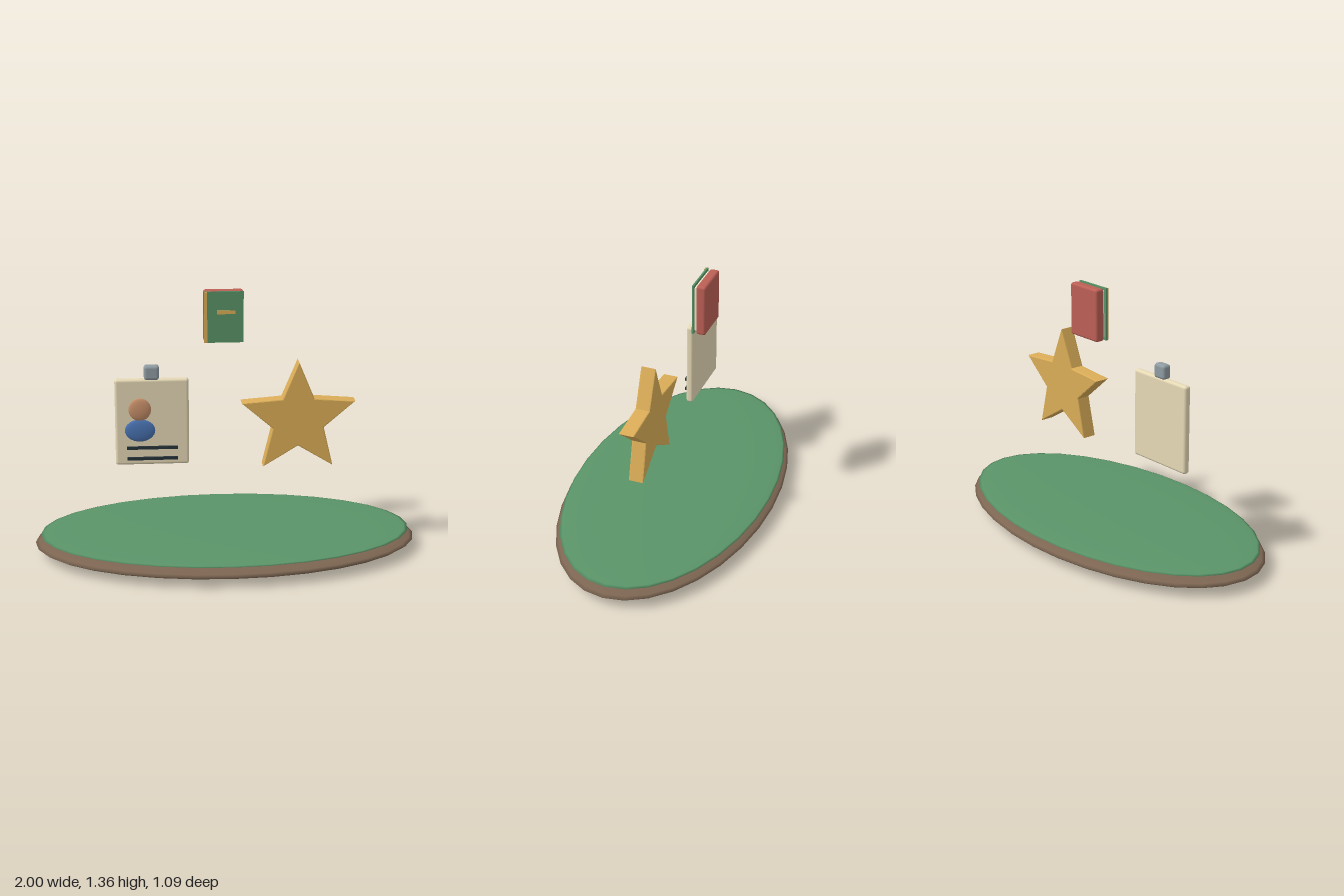
import * as THREE from 'three';
import { RoundedBoxGeometry } from 'three/addons/geometries/RoundedBoxGeometry.js';

const GREEN = 0x5a9468, GOLD = 0xdcae58, INK = 0x263238;

export function createModel() {
  const model = new THREE.Group();

  function add(parent, name, geometry, color, x, y, z) {
    const mesh = new THREE.Mesh(geometry, new THREE.MeshStandardMaterial({ color }));
    mesh.name = name;
    mesh.position.set(x, y, z);
    parent.add(mesh);
    return mesh;
  }
  const ellipsoid = (rx, ry, rz, seg = 32) => new THREE.SphereGeometry(1, seg, 16).scale(rx, ry, rz);
  const slab = (w, h, d, r) => new RoundedBoxGeometry(w, h, d, 3, r);
  const section = (name) => {
    const group = new THREE.Group();
    group.name = name;
    model.add(group);
    return group;
  };

  // Oval table top: wooden rim with a thin felt lens on top
  const table = section('table');
  add(table, 'rim', ellipsoid(1, 0.058, 0.545), 0x7d6652, 0, 0.058, 0);
  add(table, 'felt', ellipsoid(0.97, 0.018, 0.525), GREEN, 0, 0.104, 0);

  // Five-pointed star with a slight bevel
  const points = [];
  for (let i = 0; i < 10; i++) {
    const r = i % 2 ? 0.14 : 0.31;
    const a = Math.PI / 2 + (i * Math.PI) / 5;
    points.push(new THREE.Vector2(r * Math.cos(a), r * Math.sin(a)));
  }
  const bevel = 0.006;
  const starGeometry = new THREE.ExtrudeGeometry(new THREE.Shape(points), {
    depth: 0.078 - 2 * bevel, bevelEnabled: true, bevelThickness: bevel,
    bevelSize: bevel, bevelOffset: -bevel, bevelSegments: 2,
  });
  starGeometry.translate(0, 0, -0.039 + bevel);
  add(model, 'star', starGeometry, GOLD, 0.375, 0.71, 0);

  // Identity card with clip, portrait and two text bars
  const card = section('identityCard');
  add(card, 'cardBoard', slab(0.38, 0.46, 0.038, 0.014), 0xe6d9b6, -0.38, 0.71, 0);
  add(card, 'clip', slab(0.078, 0.076, 0.05, 0.015), 0x8f9ca2, -0.38, 0.973, 0);
  add(card, 'portraitHead', ellipsoid(0.058, 0.06, 0.014, 24), 0xc8906a, -0.443, 0.785, 0.036);
  add(card, 'portraitShoulders', ellipsoid(0.078, 0.06, 0.014, 24), 0x4a74b4, -0.443, 0.673, 0.036);
  for (const y of [0.58, 0.522]) {
    add(card, 'textBar', new THREE.BoxGeometry(0.262, 0.015, 0.012), INK, -0.38, y, 0.041);
  }

  // Book facing forward: red back, pages, green cover, gold trim
  const book = section('book');
  add(book, 'backCover', slab(0.206, 0.27, 0.05, 0.012), 0xbc5f55, 0, 1.224, -0.167);
  add(book, 'pages', slab(0.185, 0.246, 0.03, 0.006), 0xeee4c8, 0, 1.224, -0.145);
  add(book, 'frontCover', new THREE.BoxGeometry(0.206, 0.27, 0.009), GREEN, 0, 1.224, -0.126);
  add(book, 'spineTrim', new THREE.BoxGeometry(0.017, 0.266, 0.008), GOLD, -0.094, 1.224, -0.119);
  add(book, 'coverPlate', new THREE.BoxGeometry(0.096, 0.018, 0.008), GOLD, 0.012, 1.25, -0.119);

  return model;
}
